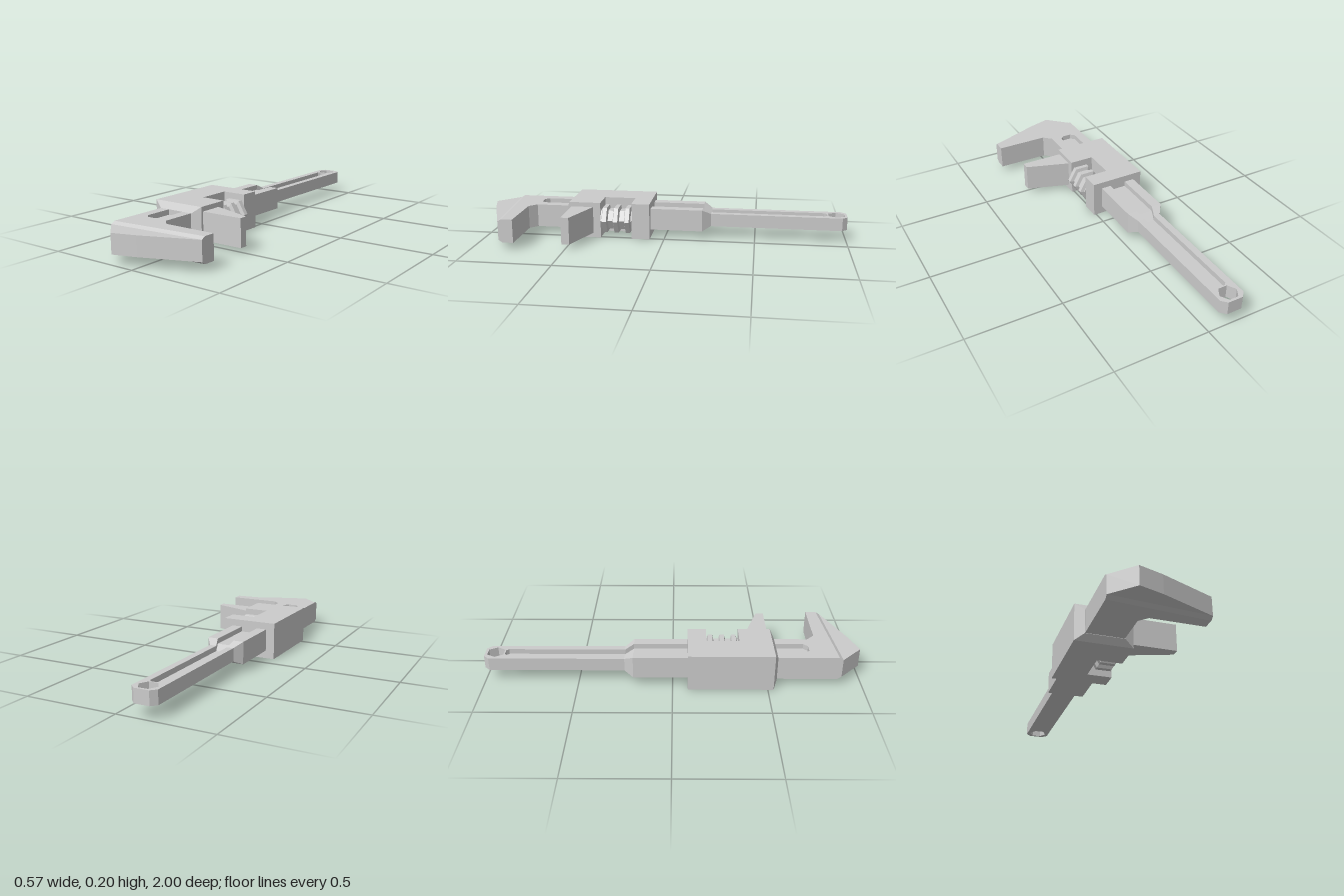
import * as THREE from 'three';

const material = new THREE.MeshStandardMaterial({ color: 0xcccccc, flatShading: true });

function add(parent, name, geometry) {
  const mesh = new THREE.Mesh(geometry, material);
  mesh.name = name;
  parent.add(mesh);
  return mesh;
}

// Upright slab over an [x, z] outline; bottom and top are heights or functions of (x, z)
function slab(points, bottom, top, hole) {
  const toVectors = (list) => list.map(([x, z]) => new THREE.Vector2(x, -z));
  const shape = new THREE.Shape(toVectors(points));
  if (hole) shape.holes.push(new THREE.Path(toVectors(hole)));
  const geometry = new THREE.ExtrudeGeometry(shape, { depth: 1, bevelEnabled: false });
  geometry.rotateX(-Math.PI / 2);
  const p = geometry.attributes.position;
  const height = (h, x, z) => (typeof h === 'function' ? h(x, z) : h);
  for (let i = 0; i < p.count; i++) {
    const x = p.getX(i), z = p.getZ(i);
    p.setY(i, height(p.getY(i) > 0.5 ? top : bottom, x, z));
  }
  geometry.computeVertexNormals();
  return geometry;
}

const CX = -0.138; // centre line of handle and shank
const SLOT_DEPTH = 0.028;

// Handle: thin grip, flared step, thick shank, with a channel along the top
function makeHandle() {
  const g = new THREE.Group();
  g.name = 'handle';
  const zA = -0.255, zB = -0.208, zEnd = 0.12;
  const w = 0.067, W = 0.101, s = 0.031, S = 0.046;
  const ramp = (a, b) => (x, z) => a + (b - a) * THREE.MathUtils.clamp((z - zA) / (zB - zA), 0, 1);
  const low = ramp(0.066, 0.043), high = ramp(0.137, 0.163);
  const floor = (x, z) => high(x, z) - SLOT_DEPTH;

  const end = [[CX + w, zA], [CX + w, -0.972], [CX + w - 0.027, -1], [CX - w + 0.027, -1], [CX - w, -0.972], [CX - w, zA]];
  const hexHole = [];
  for (let i = 0; i < 6; i++) {
    const a = i * Math.PI / 3;
    hexHole.push([CX + 0.05 * Math.cos(a), -0.943 + 0.05 * Math.sin(a)]);
  }
  const channel = [[CX - s, zA], [CX - s, -0.88], [CX - s + 0.012, -0.893], [CX + s - 0.012, -0.893], [CX + s, -0.88], [CX + s, zA]];
  add(g, 'gripBase', slab(end, low, floor, hexHole));
  add(g, 'gripRim', slab([...end, ...channel], floor, high, hexHole));

  add(g, 'flareBase', slab([[CX - w, zA], [CX - W, zB], [CX + W, zB], [CX + w, zA]], low, floor));
  add(g, 'shankBase', slab([[CX - W, zB], [CX - W, zEnd], [CX + W, zEnd], [CX + W, zB]], low, floor));
  for (const m of [-1, 1]) {
    add(g, 'flareRail', slab([[CX + m * w, zA], [CX + m * W, zB], [CX + m * S, zB], [CX + m * s, zA]], floor, high));
    add(g, 'shankRail', slab([[CX + m * W, zB], [CX + m * W, zEnd], [CX + m * S, zEnd], [CX + m * S, zB]], floor, high));
  }
  return g;
}

// Fixed jaw: shank with slot, hooked head, thinner nose beyond a sloping step
function makeFixedJaw() {
  const g = new THREE.Group();
  g.name = 'fixedJaw';
  const L = -0.237, R = 0.285, z0 = 0.5, S = 0.046;
  const low = 0.037, high = 0.165, noseLow = 0.051, noseHigh = 0.153;
  const outline = [[-0.038, z0], [-0.038, 0.73], [0.003, 0.77], [R, 0.77], [R, 0.83], [L, 0.87], [L, z0]];
  const slot = [[CX - S, z0], [CX - S, 0.7], [CX - S + 0.022, 0.723], [CX + S - 0.022, 0.723], [CX + S, 0.7], [CX + S, z0]];
  add(g, 'jawBase', slab(outline, low, high - SLOT_DEPTH));
  add(g, 'jawTop', slab([...outline, ...slot], high - SLOT_DEPTH, high));

  const step = (x, z) => THREE.MathUtils.clamp((z - 0.87 + (x - L) * 0.04 / (R - L)) / 0.02, 0, 1);
  add(g, 'jawStep', slab([[L, 0.87], [L, 0.89], [R, 0.85], [R, 0.83]],
    (x, z) => low + (noseLow - low) * step(x, z),
    (x, z) => high + (noseHigh - high) * step(x, z)));
  add(g, 'jawNose', slab([[L, 0.89], [-0.125, 1], [0, 0.962], [R, 0.85]], noseLow, noseHigh));
  return g;
}

// Sliding housing with an open window for the adjusting screw
function makeHousing() {
  const g = new THREE.Group();
  g.name = 'housing';
  const L = -0.287, R = 0.013, N = -0.12, z0 = 0.08, z1 = 0.53;
  add(g, 'housingBlock', slab([[L, z0], [L, z1], [R, z1], [R, 0.355], [N, 0.355], [N, 0.18], [R, 0.18], [R, z0]], 0, 0.2));

  // Front collar tapering down to the shank
  const collar = new THREE.BoxGeometry(R - L, 0.2, 0.02).toNonIndexed();
  const p = collar.attributes.position;
  for (let i = 0; i < p.count; i++) {
    if (p.getZ(i) > 0) p.setXY(i, p.getX(i) * 0.68, p.getY(i) * 0.65);
  }
  collar.computeVertexNormals();
  add(g, 'frontCollar', collar).position.set((L + R) / 2, 0.1, z1 + 0.01);

  add(g, 'slidingJaw', slab([[-0.02, 0.385], [-0.02, 0.518], [0.245, 0.518], [0.245, 0.475]], 0.027, 0.175));
  return g;
}

// Six-sided adjusting screw: three ridges on a thinner core, lying along z
function makeScrew() {
  const core = 0.06, ridge = 0.081;
  const profile = [new THREE.Vector2(0, 0.18), new THREE.Vector2(core, 0.18)];
  for (const z of [0.203, 0.267, 0.331]) {
    for (const [r, dz] of [[core, -0.018], [ridge, -0.012], [ridge, 0.012], [core, 0.018]]) {
      profile.push(new THREE.Vector2(r, z + dz));
    }
  }
  profile.push(new THREE.Vector2(core, 0.355), new THREE.Vector2(0, 0.355));
  const geometry = new THREE.LatheGeometry(profile, 6, Math.PI / 2);
  geometry.rotateX(Math.PI / 2);
  return geometry;
}

export function createModel() {
  const model = new THREE.Group();
  model.name = 'adjustableWrench';
  model.add(makeHandle(), makeFixedJaw(), makeHousing());
  add(model, 'adjustingScrew', makeScrew()).position.set(-0.038, 0.1, 0);
  return model;
}
